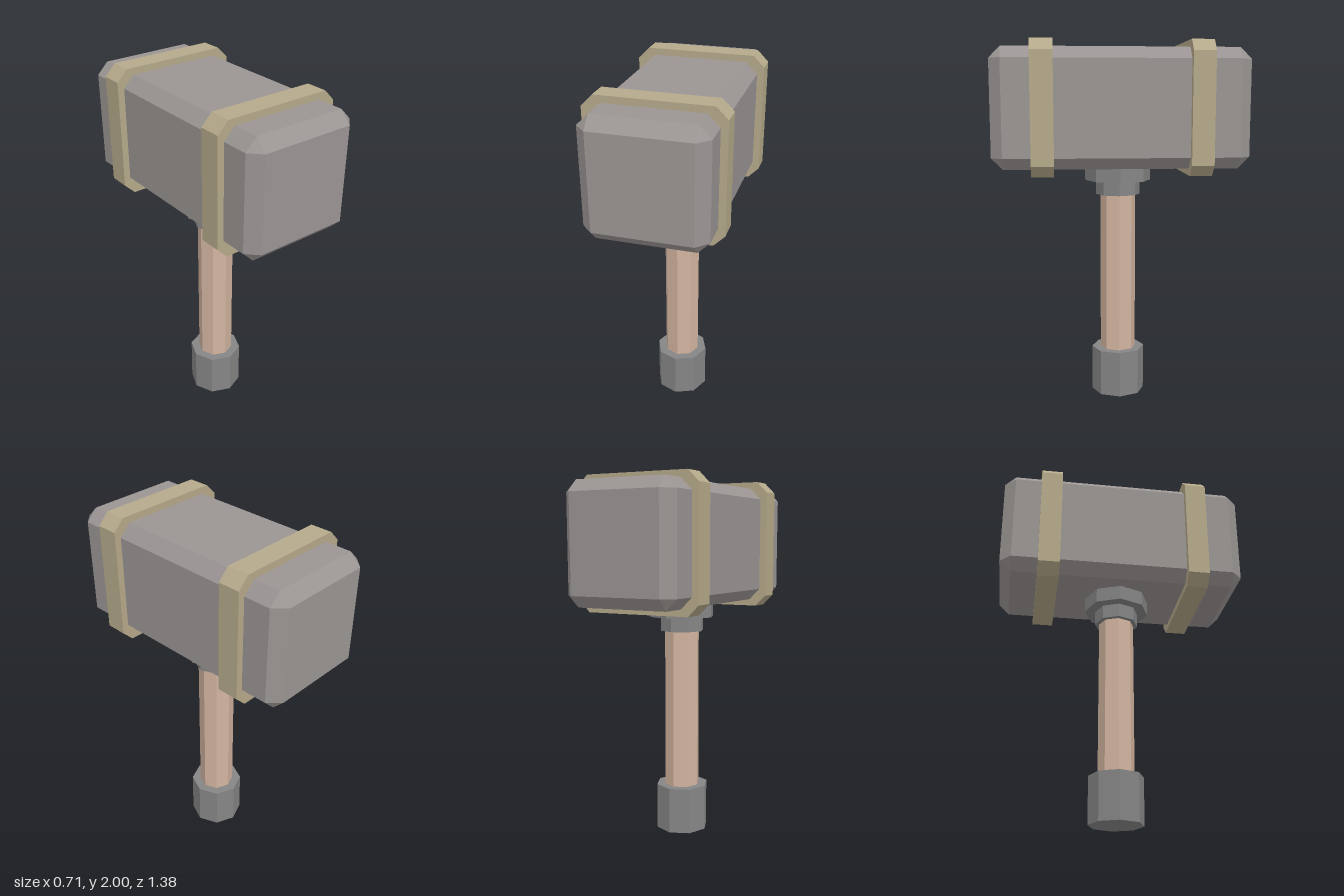
import * as THREE from 'three';
import { ConvexGeometry } from 'three/addons/geometries/ConvexGeometry.js';

const material = (color) => new THREE.MeshStandardMaterial({ color, flatShading: true });

// Box with flat chamfers on every edge and a triangle at every corner
function chamferedBox(hx, hy, hz, c) {
  const points = [];
  for (const x of [-1, 1]) for (const y of [-1, 1]) for (const z of [-1, 1]) {
    points.push(
      new THREE.Vector3(x * hx, y * (hy - c), z * (hz - c)),
      new THREE.Vector3(x * (hx - c), y * hy, z * (hz - c)),
      new THREE.Vector3(x * (hx - c), y * (hy - c), z * hz)
    );
  }
  return new ConvexGeometry(points);
}

// Square with cut corners
function cutSquare(h, c) {
  const k = h - c;
  return new THREE.Shape([
    [k, -h], [h, -k], [h, k], [k, h], [-k, h], [-h, k], [-h, -k], [-k, -h],
  ].map(([x, y]) => new THREE.Vector2(x, y)));
}

export function createModel() {
  const model = new THREE.Group();
  const stone = material(0x9a9593);
  const metal = material(0x858585);
  const brass = material(0xb5a98a);
  const wood = material(0xd2b49f);
  const headY = 1.643;

  const add = (name, geometry, mat, y, z = 0) => {
    const mesh = new THREE.Mesh(geometry, mat);
    mesh.name = name;
    mesh.position.set(0, y, z);
    model.add(mesh);
  };

  // Eight-sided shaft parts, from the ground up
  const octagon = (name, radius, y0, y1, mat) =>
    add(name, new THREE.CylinderGeometry(radius, radius, y1 - y0, 8), mat, (y0 + y1) / 2);
  octagon('pommel', 0.15, 0, 0.26, metal);
  octagon('handle', 0.1, 0.24, 1.18, wood);
  octagon('lowerCollar', 0.125, 1.16, 1.24, metal);
  octagon('upperCollar', 0.185, 1.24, 1.34, metal);

  // Hammer head
  add('head', chamferedBox(0.32, 0.32, 0.69, 0.062), stone, headY);

  // Bands around the head
  const band = new THREE.ExtrudeGeometry(cutSquare(0.357, 0.06), { depth: 0.12, bevelEnabled: false });
  band.translate(0, 0, -0.06);
  add('frontBand', band, brass, headY, 0.42);
  add('backBand', band, brass, headY, -0.42);

  return model;
}
